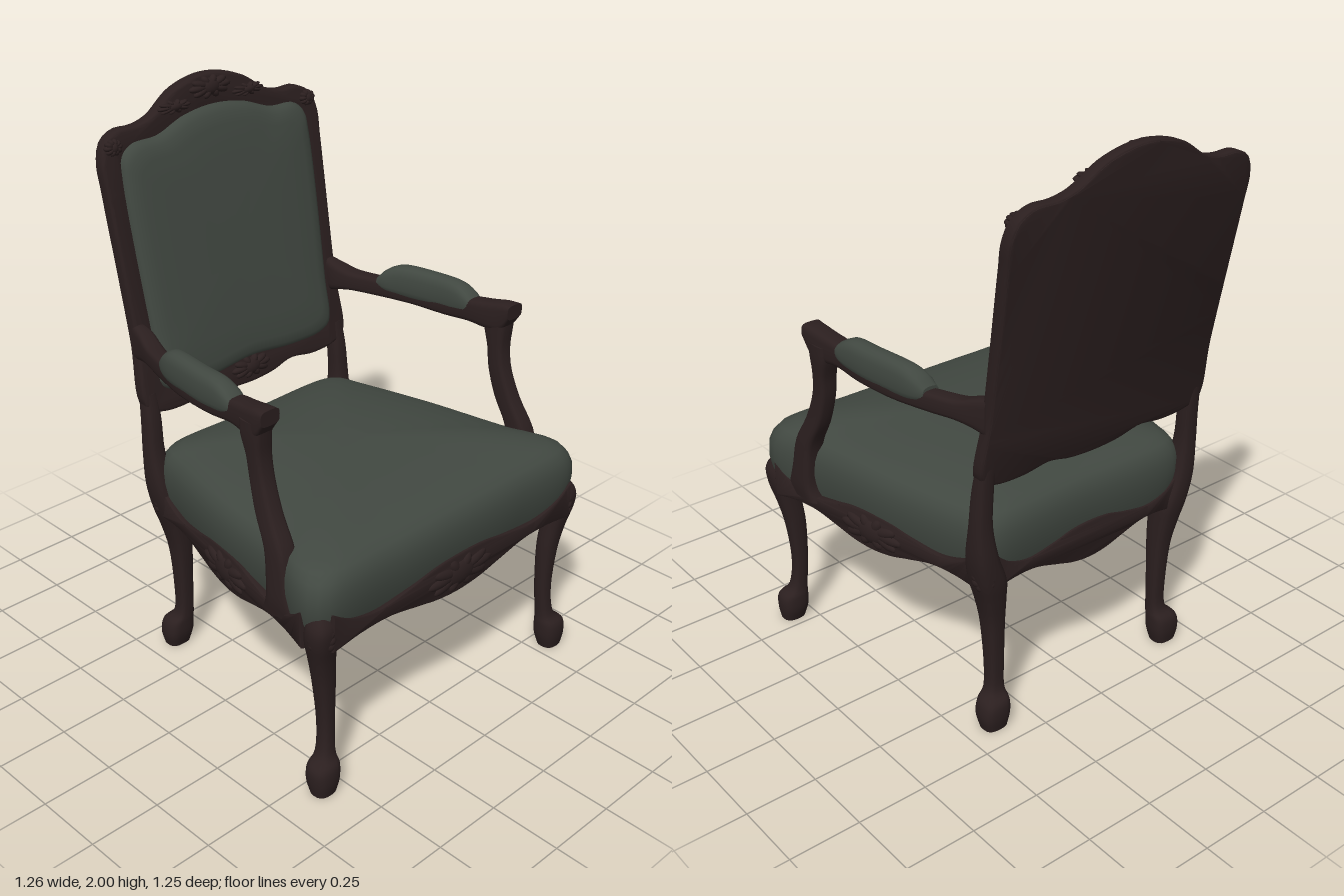
import * as THREE from 'three';
import { toCreasedNormals } from 'three/addons/utils/BufferGeometryUtils.js';

const wood = new THREE.MeshStandardMaterial({ color: 0x2b1f1f });
wood.name = 'dark wood';
const fabric = new THREE.MeshStandardMaterial({ color: 0x414841, side: THREE.DoubleSide });
fabric.name = 'grey green fabric';

// Skins a list of point rings, closes the ends and faces the result outward.
function skin(rings, openStart = false) {
  const n = rings[0].length, pos = [], idx = [];
  rings.forEach(r => r.forEach(p => pos.push(p.x, p.y, p.z)));
  for (let i = 0; i < rings.length - 1; i++) {
    for (let j = 0; j < n; j++) {
      const k = (j + 1) % n, a = i * n + j, b = i * n + k;
      idx.push(a, a + n, b, b, a + n, b + n);
    }
  }
  const caps = [[rings[rings.length - 1], true]];
  if (!openStart) caps.push([rings[0], false]);
  caps.forEach(([ring, end]) => {
    const base = pos.length / 3, c = new THREE.Vector3();
    ring.forEach(p => { pos.push(p.x, p.y, p.z); c.addScaledVector(p, 1 / n); });
    pos.push(c.x, c.y, c.z);
    for (let j = 0; j < n; j++) {
      const a = base + j, b = base + (j + 1) % n;
      end ? idx.push(a, base + n, b) : idx.push(a, b, base + n);
    }
  });
  // Signed volume tells whether the corner order has to be reversed.
  const v = i => new THREE.Vector3().fromArray(pos, i * 3);
  let volume = 0;
  for (let i = 0; i < idx.length; i += 3) volume += v(idx[i]).dot(v(idx[i + 1]).cross(v(idx[i + 2])));
  if (volume < 0) idx.reverse();
  const g = new THREE.BufferGeometry();
  g.setAttribute('position', new THREE.Float32BufferAttribute(pos, 3));
  g.setIndex(idx);
  g.computeVertexNormals();
  return g;
}

// Carved bar along y or z: rows are [along, centre, centre, half size, half size].
function bar(rows, axis, side, square = 0.55) {
  const mid = new THREE.CatmullRomCurve3(rows.map(r => new THREE.Vector3(r[1], r[0], r[2])), false, 'catmullrom');
  const size = new THREE.CatmullRomCurve3(rows.map(r => new THREE.Vector3(r[3], 0, r[4])), false, 'catmullrom');
  const pw = c => Math.sign(c) * Math.abs(c) ** square;
  const steps = (rows.length - 1) * 4, rings = [];
  for (let i = 0; i <= steps; i++) {
    const m = mid.getPoint(i / steps), s = size.getPoint(i / steps), ring = [];
    for (let j = 0; j < 20; j++) {
      const a = j / 20 * Math.PI * 2;
      const p = m.x + s.x * pw(Math.cos(a)), q = m.z + s.z * pw(Math.sin(a));
      ring.push(axis === 'y' ? new THREE.Vector3(p * side, m.y, q) : new THREE.Vector3(p * side, q, m.y));
    }
    rings.push(ring);
  }
  return skin(rings);
}

// Smooth closed outline from its right half, first and last point on the centre line.
function outline(half, count = 120) {
  const all = [...half, ...half.slice(1, -1).reverse().map(([x, y]) => [-x, y])];
  const curve = new THREE.CatmullRomCurve3(all.map(([x, y]) => new THREE.Vector3(x, y, 0)), true);
  return curve.getSpacedPoints(count).slice(0, count);
}

const LEAN = 0.18, FACE = -0.36;
const leanAt = y => -LEAN * (y - 0.8);
function lean(g) {
  const p = g.attributes.position;
  for (let i = 0; i < p.count; i++) p.setZ(i, p.getZ(i) + leanAt(p.getY(i)));
  g.computeVertexNormals();
  return g;
}

export function createModel() {
  const chair = new THREE.Group();
  chair.name = 'armchair';
  const add = (name, geo, mat, parent = chair) => {
    const m = new THREE.Mesh(geo, mat);
    m.name = name;
    parent.add(m);
    return m;
  };

  // Shell carving: an oval boss over a close fan of petals, w and h are half sizes
  function shell(name, x, y, z, turn, w, h, tilt = 0) {
    const g = new THREE.Group();
    g.name = name;
    const blob = (part, px, py, rx, ry, rz, rot) => {
      const m = add(part, new THREE.SphereGeometry(1, 12, 8), wood, g);
      m.scale.set(rx, ry, rz);
      m.position.set(px, py, 0);
      m.rotation.z = rot;
    };
    blob('boss', 0, 0, w * 0.5, h * 0.75, 0.02, 0);
    for (let i = 0; i < 10; i++) {
      const a = i / 10 * Math.PI * 2, dx = Math.cos(a) * w, dy = Math.sin(a) * h;
      blob('petal', dx * 0.55, dy * 0.55, Math.hypot(dx, dy) * 0.45, h * 0.34, 0.016, Math.atan2(dy, dx));
    }
    g.position.set(x, y, z);
    g.rotation.set(tilt, turn, 0, 'YXZ');
    chair.add(g);
  }

  // Seat cushion, a domed cover that is hollow underneath
  const seatLine = outline([[0, -0.42], [0.38, -0.42], [0.43, -0.39], [0.455, -0.3], [0.525, 0], [0.59, 0.38],
    [0.626, 0.49], [0.625, 0.56], [0.585, 0.6], [0.3, 0.61], [0, 0.61]]);
  const seatLayers = [[0.59, 0.04], [0.64, 0.015], [0.7, 0], [0.75, 0.005], [0.785, 0.025], [0.812, 0.06],
    [0.828, 0.12], [0.846, 0.24], [0.865, 0.42], [0.879, 0.66], [0.884, 0.9]];
  add('seatCushion', skin(seatLayers.map(([y, t]) => seatLine.map(p =>
    new THREE.Vector3(p.x * (1 - t), y, p.y * (1 - t) + 0.08 * t))), true), fabric);

  // Scalloped seat rails
  function rail(name, x, z, length, turn) {
    const h = length / 2;
    const bottom = [[-1, 0.56], [-0.8, 0.575], [-0.58, 0.575], [-0.35, 0.55], [-0.18, 0.53], [0, 0.522]];
    const top = [[1, 0.68], [0.86, 0.635], [0.65, 0.61], [0.4, 0.625], [0.2, 0.645], [0, 0.65]];
    const flip = list => list.slice(0, -1).reverse().map(([u, y]) => [-u, y]);
    const vec = ([u, y]) => new THREE.Vector2(u * h, y);
    const s = new THREE.Shape();
    s.moveTo(-h, 0.56);
    s.splineThru([...bottom.slice(1), ...flip(bottom)].map(vec));
    s.lineTo(h, 0.68);
    s.splineThru([...top.slice(1), ...flip(top)].map(vec));
    const g = new THREE.ExtrudeGeometry(s, { depth: 0.024, bevelSize: 0.006, bevelThickness: 0.008, bevelSegments: 2, curveSegments: 40 });
    g.translate(0, 0, -0.024).rotateY(turn).translate(x, 0, z);
    add(name, toCreasedNormals(g, 0.6), wood);
  }
  rail('frontRail', 0, 0.604, 1.14, 0);
  rail('backRail', 0, -0.415, 0.8, Math.PI);
  shell('frontRailShell', 0, 0.585, 0.607, 0, 0.16, 0.06);

  for (const side of [1, -1]) {
    const tag = side > 0 ? 'left' : 'right';
    const turn = side * (Math.PI / 2 + 0.2);
    rail(tag + 'SideRail', side * 0.53, 0.07, 0.92, turn);
    shell(tag + 'RailShell', side * 0.535, 0.587, 0.07, turn, 0.14, 0.058);

    // Curved front leg with scroll foot
    add(tag + 'FrontLeg', bar([[0, 0.575, 0.565, 0.042, 0.036], [0.05, 0.573, 0.562, 0.053, 0.048], [0.1, 0.57, 0.56, 0.052, 0.046],
      [0.14, 0.552, 0.55, 0.031, 0.03], [0.25, 0.543, 0.543, 0.028, 0.028], [0.4, 0.55, 0.543, 0.036, 0.034],
      [0.5, 0.565, 0.55, 0.042, 0.04], [0.58, 0.58, 0.56, 0.048, 0.048], [0.64, 0.585, 0.566, 0.044, 0.044],
      [0.69, 0.578, 0.56, 0.02, 0.02]], 'y', side, 0.8), wood);
    shell(tag + 'FrontKneeCarving', side * 0.596, 0.6, 0.58, side * 0.8, 0.045, 0.06);

    // Back leg running up into the back upright
    add(tag + 'BackLeg', bar([[0, 0.39, -0.395, 0.044, 0.036], [0.05, 0.39, -0.392, 0.055, 0.047], [0.1, 0.385, -0.388, 0.051, 0.046],
      [0.14, 0.37, -0.372, 0.032, 0.03], [0.25, 0.368, -0.37, 0.031, 0.031], [0.4, 0.373, -0.37, 0.036, 0.04],
      [0.5, 0.385, -0.375, 0.046, 0.05], [0.58, 0.4, -0.38, 0.055, 0.058], [0.68, 0.428, -0.39, 0.045, 0.052],
      [0.8, 0.442, -0.402, 0.034, 0.036], [0.92, 0.44, -0.41, 0.031, 0.032], [1.02, 0.437, -0.424, 0.028, 0.026]], 'y', side, 0.7), wood);
    shell(tag + 'BackKneeCarving', side * 0.434, 0.61, -0.405, side * 2.2, 0.04, 0.06);

    // Arm rail, padded top and curved arm support
    add(tag + 'Arm', bar([[-0.455, 0.44, 1.2, 0.025, 0.065], [-0.405, 0.445, 1.2, 0.033, 0.052], [-0.34, 0.464, 1.195, 0.035, 0.036],
      [-0.24, 0.496, 1.192, 0.032, 0.034], [-0.1, 0.53, 1.188, 0.032, 0.03], [0.05, 0.543, 1.192, 0.035, 0.032],
      [0.16, 0.546, 1.21, 0.036, 0.042], [0.23, 0.553, 1.212, 0.037, 0.05], [0.29, 0.56, 1.22, 0.038, 0.052],
      [0.33, 0.561, 1.246, 0.038, 0.026]], 'z', side), wood);
    add(tag + 'ArmPad', bar([[-0.235, 0.498, 1.215, 0.03, 0.022], [-0.2, 0.508, 1.225, 0.038, 0.046], [-0.14, 0.522, 1.232, 0.039, 0.06],
      [0, 0.541, 1.234, 0.039, 0.061], [0.09, 0.546, 1.235, 0.04, 0.057], [0.14, 0.547, 1.23, 0.039, 0.042],
      [0.168, 0.547, 1.225, 0.034, 0.024]], 'z', side, 0.75), fabric);
    add(tag + 'ArmSupport', bar([[0.6, 0.573, 0.405, 0.036, 0.09], [0.65, 0.573, 0.4, 0.042, 0.065], [0.72, 0.572, 0.388, 0.041, 0.052],
      [0.82, 0.57, 0.37, 0.037, 0.046], [0.92, 0.562, 0.318, 0.033, 0.042], [1.02, 0.556, 0.284, 0.032, 0.036],
      [1.1, 0.557, 0.272, 0.034, 0.034], [1.17, 0.56, 0.264, 0.037, 0.046], [1.22, 0.561, 0.265, 0.037, 0.05]], 'y', side), wood);

    // Carving on the corners and shoulders of the back frame
    shell(tag + 'BackCornerCarving', side * 0.425, 1.84, FACE + leanAt(1.84), 0, 0.035, 0.028, -0.18);
    shell(tag + 'CrestLeaf', side * 0.16, 1.918, FACE + leanAt(1.918), 0, 0.07, 0.022, -0.18);
  }

  // Back frame with a shaped opening, closed by a solid rear panel
  const outer = outline([[0, 0.935], [0.1, 0.942], [0.19, 0.962], [0.3, 0.948], [0.4, 0.955], [0.453, 0.98], [0.45, 1.2],
    [0.462, 1.7], [0.463, 1.79], [0.44, 1.85], [0.39, 1.876], [0.32, 1.876], [0.25, 1.893], [0.14, 1.96], [0, 1.988]], 160);
  const inner = outline([[0, 1.02], [0.2, 1.003], [0.34, 1.008], [0.39, 1.035], [0.398, 1.2], [0.41, 1.74], [0.4, 1.805],
    [0.355, 1.838], [0.25, 1.845], [0.13, 1.885], [0, 1.9]], 160);
  const flat = list => list.map(p => new THREE.Vector2(p.x, p.y));
  const panel = new THREE.Shape(flat(outer));
  add('rearPanel', toCreasedNormals(lean(new THREE.ExtrudeGeometry(panel, { depth: 0.016, bevelSize: 0.006, bevelThickness: 0.006, bevelSegments: 2 })
    .translate(0, 0, -0.404)), 0.6), wood);
  const frame = new THREE.Shape(flat(outer));
  frame.holes.push(new THREE.Path(flat(inner)));
  add('backFrame', toCreasedNormals(lean(new THREE.ExtrudeGeometry(frame, { depth: 0.028, bevelSize: 0.01, bevelThickness: 0.01, bevelSegments: 3 })
    .translate(0, 0, FACE - 0.038)), 0.6), wood);

  // Back cushion
  const backLayers = [[-0.39, 0], [-0.362, 0], [-0.346, 0.02], [-0.335, 0.06], [-0.327, 0.14], [-0.323, 0.35], [-0.321, 0.8]];
  add('backCushion', lean(skin(backLayers.map(([z, t]) => inner.map(p =>
    new THREE.Vector3(p.x * (1 - t), 1.44 + (p.y - 1.44) * (1 - t), z))))), fabric);

  // Shells on the crest and the lower back rail
  shell('crestShell', 0, 1.955, FACE + leanAt(1.955), 0, 0.09, 0.038, -0.18);
  shell('lowerBackShell', 0, 0.985, FACE + leanAt(0.985), 0, 0.09, 0.04, -0.18);

  return chair;
}
